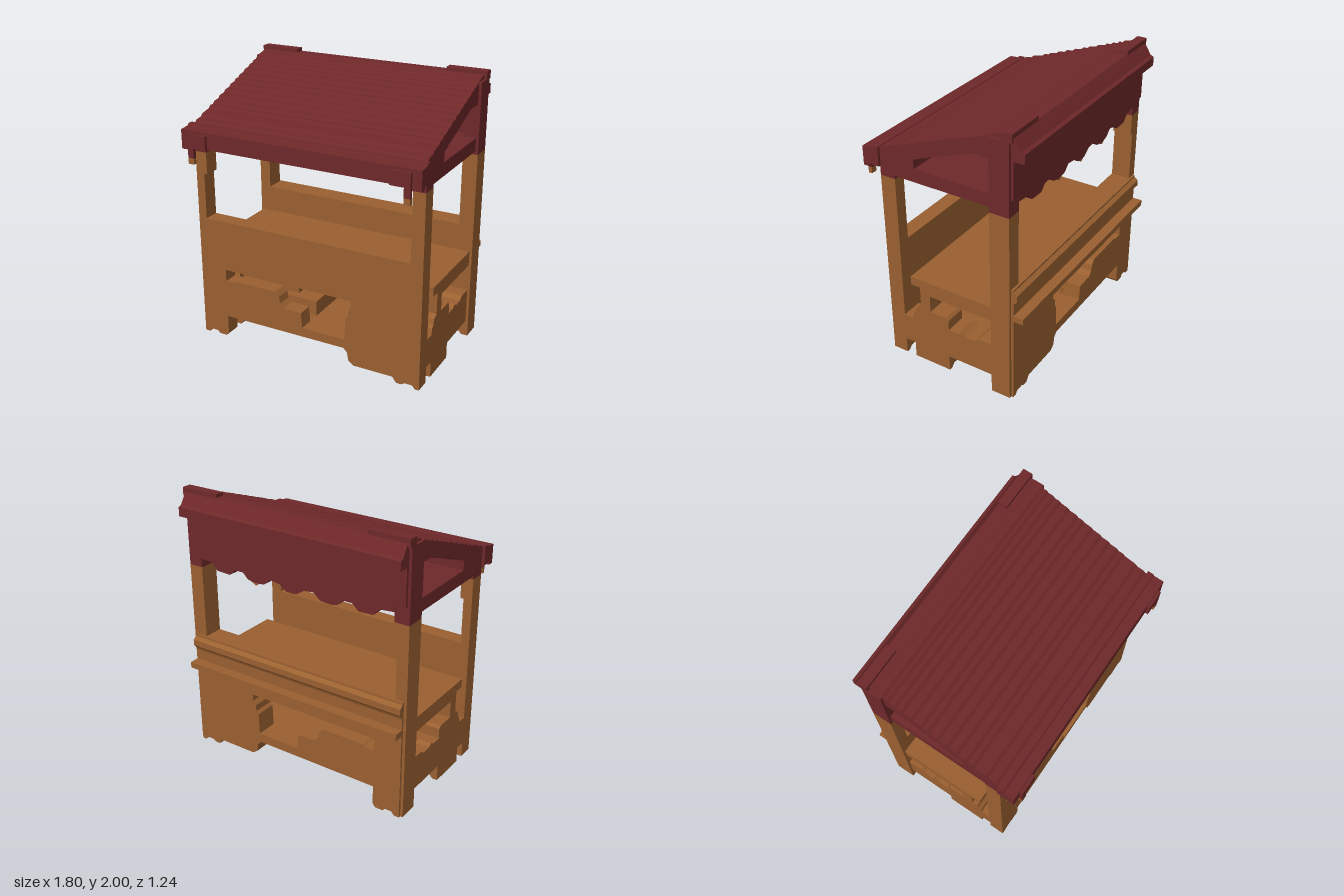
import * as THREE from 'three';

const red = new THREE.MeshStandardMaterial({ name: 'roofRed', color: 0x6e2829 });
const brown = new THREE.MeshStandardMaterial({ name: 'woodBrown', color: 0x9a6030 });

export function createModel() {
  const stall = new THREE.Group();
  stall.name = 'marketStall';

  const add = (name, geo, mat) => {
    const mesh = new THREE.Mesh(geo, mat);
    mesh.name = name;
    stall.add(mesh);
    return mesh;
  };
  const box = (name, mat, x0, x1, y0, y1, z0, z1) =>
    add(name, new THREE.BoxGeometry(x1 - x0, y1 - y0, z1 - z0)
      .translate((x0 + x1) / 2, (y0 + y1) / 2, (z0 + z1) / 2), mat);
  const mirrored = (name, mat, x0, x1, ...rest) => {
    box(name + 'Left', mat, x0, x1, ...rest);
    box(name + 'Right', mat, -x1, -x0, ...rest);
  };
  const toShape = (points, holes = []) => {
    const shape = new THREE.Shape(points.map(p => new THREE.Vector2(...p)));
    for (const h of holes) shape.holes.push(new THREE.Path(h.map(p => new THREE.Vector2(...p))));
    return shape;
  };
  // outline in (x, y), extruded along z
  const alongZ = (name, mat, points, holes, z0, z1) =>
    add(name, new THREE.ExtrudeGeometry(toShape(points, holes), { depth: z1 - z0, bevelEnabled: false })
      .translate(0, 0, z0), mat);
  // outline in (z, y), extruded along x
  const alongX = (name, mat, points, x0, x1) =>
    add(name, new THREE.ExtrudeGeometry(toShape(points), { depth: x1 - x0, bevelEnabled: false })
      .rotateY(-Math.PI / 2).translate(x1, 0, 0), mat);

  const split = 1.43; // height where wood meets the red roof structure

  // Posts; the right-hand pair is slimmer below a small brace
  for (const [name, outer, z0, z1, top] of [['front', 0.88, 0.36, 0.475, 1.6], ['back', 0.9, -0.525, -0.38, 1.945]]) {
    box(name + 'PostLeft', brown, 0.79, outer, 0.03, split, z0, z1);
    box(name + 'PostRight', brown, -outer, -0.815, 0.03, split, z0, z1);
    box(name + 'PostBrace', brown, -0.815, -0.79, 1.27, split, z0, z1);
    mirrored(name + 'PostTop', red, 0.79, outer, split, top, z0, z1);
  }
  mirrored('backPostEdge', brown, 0.85, 0.9, 0, 0.03, -0.525, -0.38);

  // Notched feet, shared by the walls and end walls
  const footRight = [[-0.88, 0], [-0.84, 0], [-0.82, 0.025], [-0.77, 0.025], [-0.75, 0.005], [-0.69, 0.005], [-0.67, 0.03]];
  const footLeft = [[0.68, 0.05], [0.71, 0.01], [0.75, 0.01], [0.77, 0.025], [0.83, 0.025], [0.85, 0], [0.88, 0]];
  alongZ('endFootRight', brown, [...footRight, [-0.67, 0.12], [-0.88, 0.12]], [], -0.015, 0.28);
  alongZ('endFootLeft', brown, [...footLeft, [0.88, 0.12], [0.68, 0.12]], [], -0.015, 0.28);

  // Thick front and back walls with ragged bottoms and a stepped opening
  const wall = top => [
    ...footRight, [-0.67, 0.17], [0.3, 0.17], [0.33, 0.14], [0.34, 0.08], [0.38, 0.05],
    ...footLeft, [0.88, top], [-0.88, top],
  ];
  const opening = [
    [-0.67, 0.46], [-0.6, 0.46], [-0.58, 0.475], [-0.25, 0.475], [-0.22, 0.44], [-0.21, 0.39], [-0.18, 0.36],
    [-0.04, 0.355], [-0.03, 0.24], [0.31, 0.24], [0.315, 0.4], [0.335, 0.42], [0.335, 0.47], [0.36, 0.5], [0.36, 0.55],
    [-0.67, 0.55],
  ];
  alongZ('frontWall', brown, wall(0.93), [opening], 0.36, 0.475);
  alongZ('backWall', brown, wall(0.89), [opening], -0.542, -0.38);

  // Mouldings on the back wall
  alongX('backMoulding', brown,
    [[-0.53, 0.77], [-0.53, 0.885], [-0.55, 0.87], [-0.57, 0.855], [-0.57, 0.81], [-0.55, 0.79], [-0.542, 0.77]], -0.88, 0.88);
  box('backLedge', brown, -0.88, 0.88, 0.645, 0.69, -0.615, -0.5);

  // Counter and lower floor with stored crates
  box('counter', brown, -0.88, 0.88, 0.58, 0.69, -0.4, 0.21);
  box('counterLip', brown, -0.88, 0.88, 0.625, 0.69, 0.21, 0.285);
  box('floor', brown, -0.87, 0.87, 0.17, 0.24, -0.5, 0.42);
  box('crateTall', brown, -0.82, -0.21, 0.24, 0.45, 0, 0.21);
  box('crateLow', brown, -0.82, -0.03, 0.24, 0.355, -0.4, 0.27);

  // End walls with cut-outs
  const endWall = [
    [0.38, 0.12], [-0.4, 0.12], [-0.4, 0.38], [-0.27, 0.38], [-0.24, 0.355], [-0.16, 0.355], [-0.13, 0.375],
    [-0.1, 0.355], [-0.02, 0.355], [-0.02, 0.43], [0, 0.45], [0.13, 0.45], [0.13, 0.58], [0.15, 0.64], [0.21, 0.63],
    [0.21, 0.46], [0.25, 0.44], [0.26, 0.4], [0.28, 0.38], [0.29, 0.335], [0.38, 0.335],
  ].reverse();
  alongX('endWallLeft', brown, endWall, 0.72, 0.88);
  alongX('endWallRight', brown, endWall, -0.88, -0.7);

  // Stepped roof slab: unevenly lapped boards on top, ridged underneath
  const roof = [[0.5, 1.5], [0.5, 1.64]];
  const laps = [0.45, 0.38, 0.28, 0.23, 0.16, 0.09, 0.02, -0.05, -0.1, -0.17, -0.24, -0.29, -0.34, -0.38];
  for (const z of laps) {
    const y = 1.642 + (0.46 - z) * 0.366;
    roof.push([z + 0.012, y - 0.012], [z - 0.008, y + 0.006]);
  }
  roof.push([-0.43, 1.965], [-0.46, 1.975], [-0.54, 1.975], [-0.57, 1.93], [-0.595, 1.89], [-0.62, 1.88], [-0.62, 1.815],
    [-0.54, 1.815], [-0.5, 1.79], [-0.26, 1.79]);
  for (let i = 1; i < 9; i++) {
    const z = -0.26 + i * 0.051, y = 1.79 - i * 0.019;
    roof.push([z - 0.015, y + 0.012], [z, y]);
  }
  roof.push([0.2, 1.62], [0.2, 1.55], [0.38, 1.5]);
  alongX('roof', red, roof.reverse(), -0.88, 0.88);
  mirrored('ridgeEnd', red, 0.6, 0.9, 1.94, 2, -0.545, -0.475);

  // Side beams, front eave and end brackets
  mirrored('sideBeam', red, 0.79, 0.88, 1.455, 1.55, -0.45, 0.475);
  alongX('eave', red, [[0.47, 1.5], [0.595, 1.5], [0.595, 1.62], [0.52, 1.625],
    [0.51, 1.64], [0.47, 1.64]].reverse(), -0.9, 0.9);
  mirrored('eaveEnd', red, 0.835, 0.9, 1.48, 1.5, 0.55, 0.595);
  mirrored('bracket', red, 0.69, 0.835, 1.5, 1.6, 0.59, 0.617);
  mirrored('bracketHook', red, 0.79, 0.835, split, 1.5, 0.59, 0.617);
  mirrored('bracketTip', brown, 0.79, 0.835, 1.385, split, 0.59, 0.617);

  // Scalloped back panel, with the same pleats carried shallowly across the ceiling
  const half = [
    [0, 1.43], [0.04, 1.43], [0.1, 1.47], [0.18, 1.48], [0.23, 1.435], [0.27, 1.43], [0.33, 1.43],
    [0.37, 1.44], [0.41, 1.48], [0.48, 1.48], [0.53, 1.435], [0.64, 1.44], [0.69, 1.49], [0.8, 1.5],
  ];
  const edge = [...half.slice(1).reverse().map(([x, y]) => [-x, y]), ...half];
  const pleats = edge.map(([x, y]) => [x, Math.max(y, 1.46) + 0.005]);
  alongZ('valance', red, [...edge, [0.8, 1.95], [-0.8, 1.95]], [], -0.53, -0.46);
  alongZ('ceiling', red, [...pleats, [0.8, 1.55], [-0.8, 1.55]], [], -0.46, 0.475);
  for (const x of [-0.3, 0, 0.3])
    alongZ('valanceTip', brown, [[x + 0.03, split], [x - 0.03, split], [x, 1.41]], [], -0.53, -0.46);
  box('backBoard', red, -0.88, 0.88, 1.55, 1.83, -0.545, -0.5);

  return stall;
}
